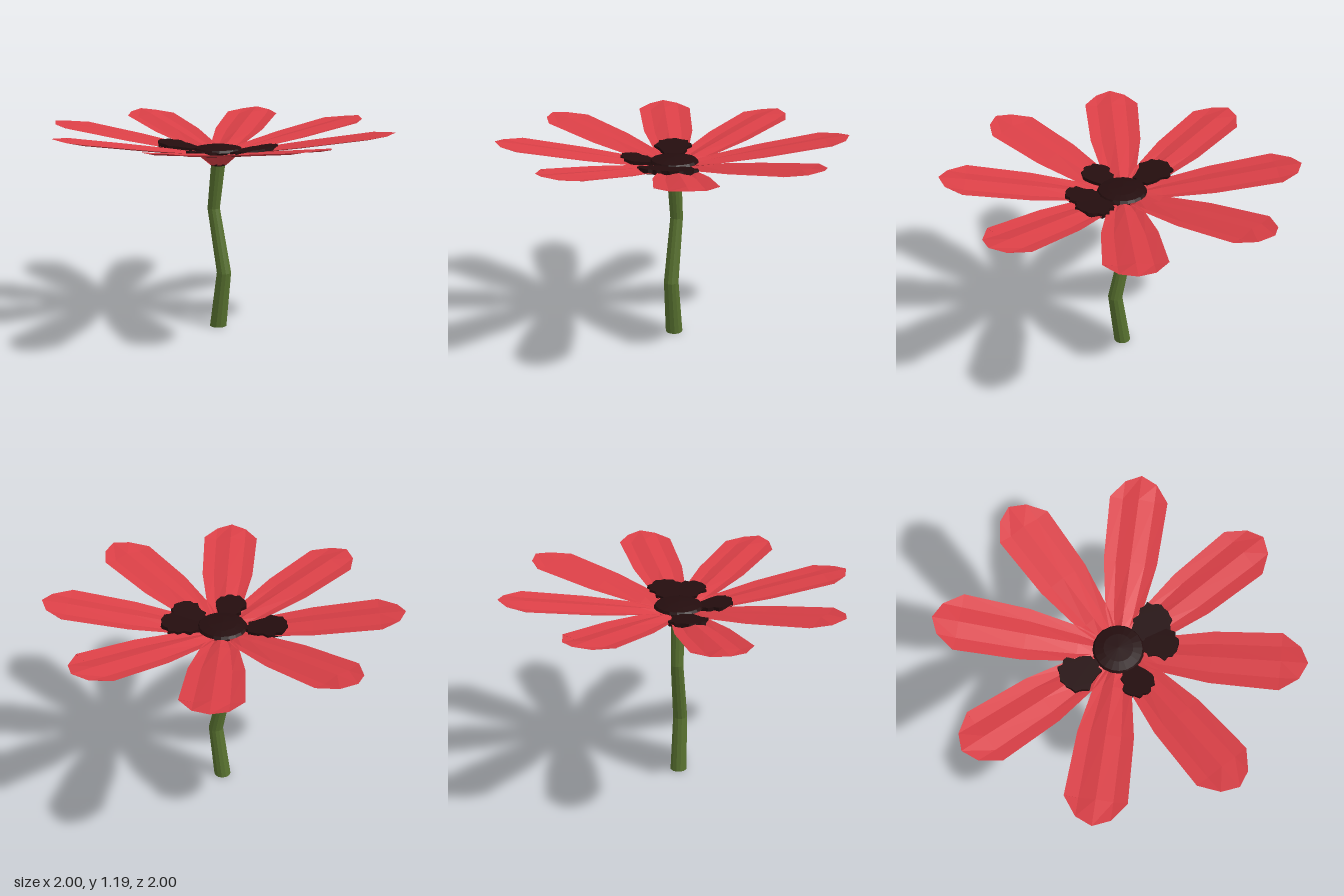
import * as THREE from 'three';

const red = new THREE.MeshStandardMaterial({ name: 'petal red', color: 0xd93f46, flatShading: true, side: THREE.DoubleSide });
const dark = new THREE.MeshStandardMaterial({ name: 'centre black', color: 0x240d0e, flatShading: true });
const green = new THREE.MeshStandardMaterial({ name: 'stem green', color: 0x57702f, flatShading: true });

function add(group, name, geometry, material) {
  const mesh = new THREE.Mesh(geometry, material);
  mesh.name = name;
  group.add(mesh);
  return mesh;
}

// Pleated petal pointing along +z: rows of [distance, height, half width]
function petalGeometry() {
  const rows = [[0.04, 0.972, 0.03], [0.12, 1.045, 0.065], [0.22, 1.062, 0.1],
    [0.5, 1.108, 0.148], [0.86, 1.167, 0.162], [1, 1.19, 0.162]];
  const across = [-1, -0.55, 0, 0.55, 1];
  const pleat = [0.002, -0.01, 0.006, -0.01, 0.002];
  const tipBack = [0.14, 0.04, 0, 0.04, 0.14]; // rounds off the tip
  const pos = [], index = [];
  rows.forEach(([r, y, w], i) => across.forEach((a, j) => {
    const back = i === rows.length - 1 ? tipBack[j] : 0;
    const fold = i === rows.length - 1 ? pleat[j] * 0.3 : pleat[j];
    pos.push(a * w, y - back * 0.164 + (i === 0 ? 0 : fold), r - back);
    if (i > 0 && j > 0) {
      const d = i * 5 + j, c = d - 1, b = d - 5, e = b - 1;
      index.push(e, c, b);
      index.push(b, c, d);
    }
  }));
  const g = new THREE.BufferGeometry();
  g.setAttribute('position', new THREE.Float32BufferAttribute(pos, 3));
  g.setIndex(index);
  g.computeVertexNormals();
  return g;
}

// Bent stem: a cylinder whose rings follow [x, y, z, radius]
function stemGeometry() {
  const rings = [[0, 0, 0, 0.05], [0.04, 0.335, 0.02, 0.043], [-0.032, 0.71, -0.017, 0.037], [0, 0.98, 0, 0.042]];
  const g = new THREE.CylinderGeometry(1, 1, 3, 12, 3);
  const p = g.attributes.position;
  for (let i = 0; i < p.count; i++) {
    const [x, y, z, r] = rings[Math.round(p.getY(i) + 1.5)];
    p.setXYZ(i, x + p.getX(i) * r, y, z + p.getZ(i) * r);
  }
  g.computeVertexNormals();
  return g;
}

// Ragged flat blotch, narrowing towards the flower centre (-z)
function blotchGeometry(seed) {
  const shape = new THREE.Shape();
  const n = 26;
  for (let i = 0; i < n; i++) {
    const a = (i / n) * Math.PI * 2;
    const r = 0.1 + 0.006 * Math.sin(i * 2.6 + seed) + 0.005 * Math.sin(i * 4.3 + seed * 2);
    const v = Math.sin(a) * r;
    const u = Math.cos(a) * r * (v < -0.02 ? 0.85 : 1.05);
    const stretched = v < 0 ? v * 1.35 : v;
    if (i === 0) shape.moveTo(u, -stretched);
    else shape.lineTo(u, -stretched);
  }
  const g = new THREE.ExtrudeGeometry(shape, { depth: 0.026, bevelEnabled: false });
  g.translate(0, 0, -0.013);
  g.rotateX(-Math.PI / 2);
  return g;
}

export function createModel() {
  const flower = new THREE.Group();
  flower.name = 'flower';

  add(flower, 'stem', stemGeometry(), green);
  const collar = add(flower, 'collar', new THREE.CylinderGeometry(0.05, 0.043, 0.018, 12), dark);
  collar.position.y = 0.976;

  // Eight petals around the stem
  const petal = petalGeometry();
  for (let i = 0; i < 8; i++) {
    add(flower, 'petal', petal, red).rotation.y = (i * Math.PI) / 4;
  }

  // Low domed centre
  const dome = [[0, 1.035], [0.11, 1.04], [0.14, 1.056], [0.13, 1.07], [0.08, 1.08], [0, 1.084]];
  add(flower, 'centre', new THREE.LatheGeometry(dome.map(([x, y]) => new THREE.Vector2(x, y)), 20), dark);

  // Dark blotches lying through the petal bases: [x, z, scale]
  [[-0.262, -0.015, 1], [0.242, -0.01, 1], [0.205, 0.125, 0.86], [-0.035, 0.215, 0.86]].forEach(([x, z, s], i) => {
    const holder = new THREE.Group();
    holder.name = 'blotchHolder';
    const r = Math.hypot(x, z);
    holder.rotation.y = Math.atan2(x, z);
    flower.add(holder);
    const blotch = add(holder, 'blotch', blotchGeometry(i * 1.7 + 1), dark);
    blotch.position.set(0, 1.027 + r * 0.164, r);
    blotch.rotation.x = -0.16;
    blotch.scale.set(s, 1, s);
  });

  return flower;
}
